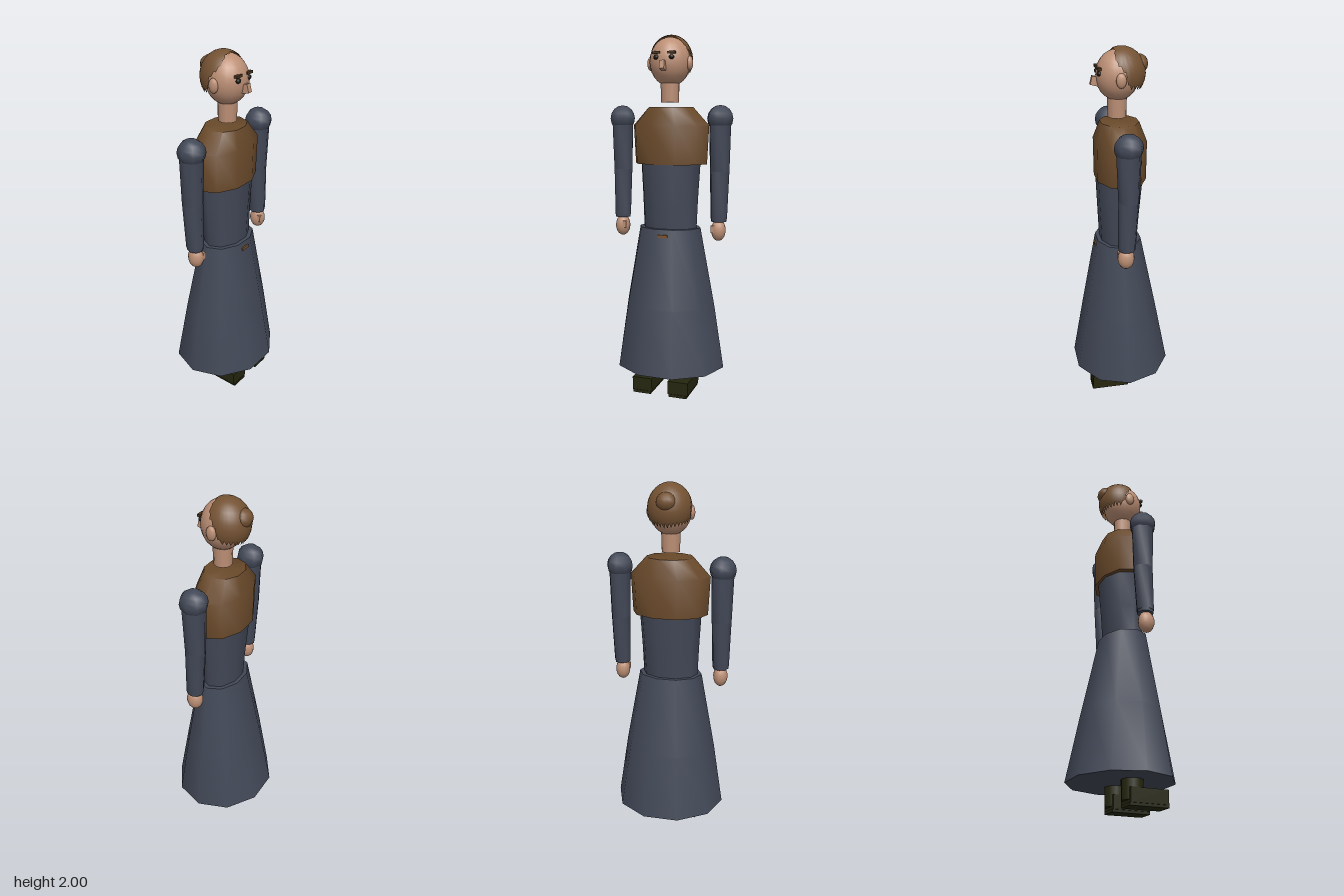
import * as THREE from 'three';
import { toCreasedNormals } from 'three/addons/utils/BufferGeometryUtils.js';

const mat = (name, color) => {
  const m = new THREE.MeshStandardMaterial({ color });
  m.name = name;
  return m;
};

// Capped body of oval rings; each ring is [y, halfWidth, halfDepth, zCentre], bottom to top
function loft(rings, sides) {
  const first = rings[0], last = rings[rings.length - 1];
  const all = [[first[0], 0, 0, first[3]], ...rings, [last[0], 0, 0, last[3]]];
  const geo = new THREE.LatheGeometry(all.map(r => new THREE.Vector2(r[1], r[0])), sides, Math.PI / 2);
  const p = geo.attributes.position;
  for (let i = 0; i < p.count; i++) {
    const [, rx, rz, cz] = all[i % all.length];
    p.setZ(i, (rx ? p.getZ(i) / rx * rz : 0) + cz);
  }
  return toCreasedNormals(geo, 1.0);
}

function ball(rx, ry, rz, w = 16, h = 12) {
  return new THREE.SphereGeometry(1, w, h).scale(rx, ry, rz);
}

// Hair cap: a sphere whose lower edge follows a hairline, from the forehead round to the nape
function hairCap() {
  const line = [[0, 21], [45, 29], [66, 62], [88, 84], [100, 122], [180, 132]];
  const edge = a => {
    let k = 1;
    while (k < line.length - 1 && a > line[k][0]) k++;
    const [a0, t0] = line[k - 1], [a1, t1] = line[k];
    return THREE.MathUtils.degToRad(THREE.MathUtils.mapLinear(a, a0, a1, t0, t1));
  };
  const geo = new THREE.SphereGeometry(1, 32, 10);
  const p = geo.attributes.position, uv = geo.attributes.uv;
  for (let i = 0; i < p.count; i++) {
    const phi = uv.getX(i) * Math.PI * 2;
    const row = Math.floor(i / 33) / 10;
    const x = -Math.cos(phi), z = Math.sin(phi);
    const az = THREE.MathUtils.radToDeg(Math.atan2(Math.abs(x), z));
    const t = row * edge(az);
    p.setXYZ(i, x * Math.sin(t), Math.cos(t), z * Math.sin(t));
    geo.attributes.normal.setXYZ(i, x * Math.sin(t), Math.cos(t), z * Math.sin(t));
  }
  return geo.scale(0.119, 0.135, 0.126);
}

export function createModel() {
  const model = new THREE.Group();
  model.name = 'woman';
  const dress = mat('dressBlue', 0x424857);
  const shawl = mat('shawlBrown', 0x69492a);
  const skin = mat('skin', 0xbc8f75);
  const hair = mat('hairBrown', 0x745233);
  hair.side = THREE.DoubleSide;
  const brow = mat('browBrown', 0x4a3420);
  const eye = mat('eyeDark', 0x17150f);
  const boot = mat('bootOlive', 0x25260f);
  const clasp = mat('claspBrown', 0x7a5230);

  const add = (name, geo, material, x = 0, y = 0, z = 0, parent = model) => {
    const m = new THREE.Mesh(geo, material);
    m.name = name;
    m.position.set(x, y, z);
    parent.add(m);
    return m;
  };
  const box = (w, h, d) => new THREE.BoxGeometry(w, h, d);

  // Clothing
  add('skirt', loft([
    [0.135, 0.318, 0.284, 0], [0.5, 0.262, 0.215, 0.005], [0.94, 0.18, 0.128, 0.012],
  ], 10), dress);
  add('torso', loft([
    [0.9, 0.155, 0.103, 0.012], [1.1, 0.163, 0.115, 0.009], [1.32, 0.176, 0.13, 0.004],
  ], 10), dress);
  add('shawl', loft([
    [1.297, 0.211, 0.14, 0], [1.51, 0.222, 0.142, 0], [1.61, 0.13, 0.106, 0.002],
  ], 10), shawl);
  add('clasp', box(0.055, 0.017, 0.02), clasp, 0, 0.903, 0.137);

  // Head
  add('neck', new THREE.CylinderGeometry(0.054, 0.05, 0.14, 12), skin, 0, 1.705, 0.014);
  add('head', ball(0.113, 0.132, 0.115, 20, 14), skin, 0, 1.854, 0.012);
  add('hair', hairCap(), hair, 0, 1.865, -0.01);
  add('hairBun', ball(0.055, 0.05, 0.05, 12, 8), hair, 0, 1.908, -0.1);
  const nose = add('nose', box(0.027, 0.046, 0.04), skin, 0, 1.828, 0.132);
  nose.rotation.x = 0.25 * -1;

  for (const s of [1, -1]) {
    const side = s > 0 ? 'left' : 'right';
    add(side + 'Ear', ball(0.018, 0.039, 0.028, 10, 8), skin, s * 0.113, 1.845, 0.013);
    add(side + 'Eye', ball(0.016, 0.013, 0.012, 10, 8), eye, s * 0.043, 1.872, 0.115);
    add(side + 'Brow', box(0.044, 0.013, 0.018), brow, s * 0.043, 1.896, 0.115);

    // Arm: puffed shoulder, tapered sleeve, cuff and hand
    const arm = new THREE.Group();
    arm.name = side + 'Arm';
    arm.position.x = s * 0.286;
    model.add(arm);
    add('shoulder', ball(0.073, 0.073, 0.077, 8, 8), dress, 0, 1.547, 0.01, arm);
    add('upperSleeve', loft([[1.26, 0.055, 0.056, 0.008], [1.54, 0.062, 0.066, 0.01]], 8), dress, 0, 0, 0, arm);
    add('lowerSleeve', loft([[1.0, 0.047, 0.049, 0.018], [1.27, 0.055, 0.056, 0.008]], 8), dress, 0, 0, 0, arm);
    add('cuff', loft([[0.985, 0.044, 0.046, 0.018], [1.02, 0.046, 0.048, 0.018]], 8), dress, 0, 0, 0, arm);
    add('hand', ball(0.041, 0.06, 0.046, 12, 10), skin, 0, 0.936, 0.022, arm);
    add('thumb', box(0.02, 0.04, 0.022), skin, -s * 0.024, 0.945, 0.052, arm);

    // Boot
    const foot = new THREE.Group();
    foot.name = side + 'Boot';
    foot.position.x = s * 0.106;
    model.add(foot);
    add('bootShaft', new THREE.CylinderGeometry(0.059, 0.057, 0.15, 10), boot, 0, 0.105, 0.017, foot);
    add('bootFoot', box(0.116, 0.075, 0.21), boot, 0, 0.052, 0.088, foot);
    add('sole', box(0.104, 0.016, 0.216), boot, 0, 0.008, 0.088, foot);
  }
  return model;
}
